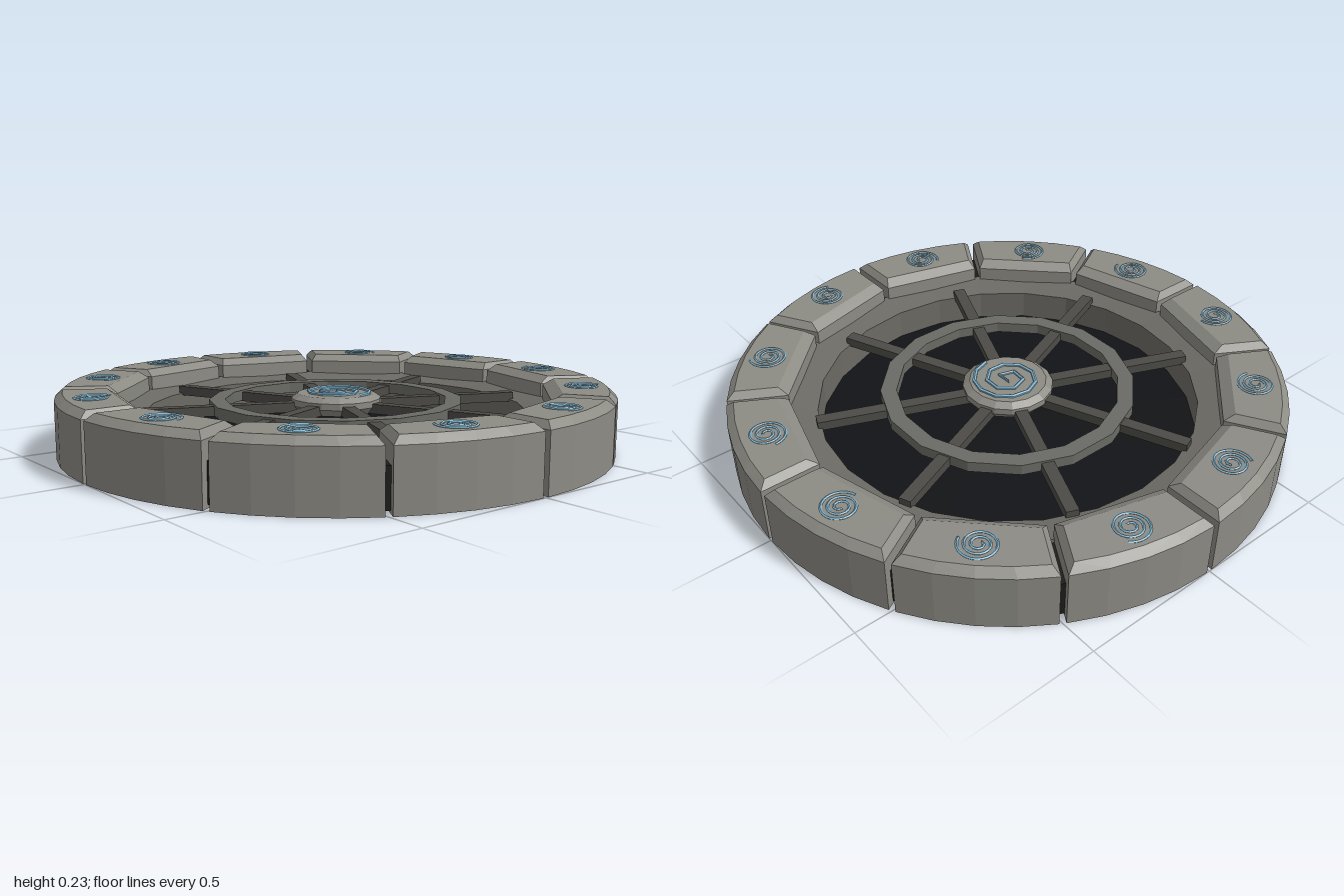
import * as THREE from 'three';
import { ConvexGeometry } from 'three/addons/geometries/ConvexGeometry.js';

const mat = (color) => new THREE.MeshStandardMaterial({ color, flatShading: true });
const stoneMat = mat(0x8c8b84);
const mortarMat = mat(0x1c1c1a);
const collarMat = mat(0x6c6a64);
const ringMat = mat(0x6a6a65);
const spokeMat = mat(0x4c4b47);
const floorMat = mat(0x111316);
const glyphMat = mat(0x7fb2cc);

function add(parent, name, geometry, material) {
  const mesh = new THREE.Mesh(geometry, material);
  mesh.name = name;
  parent.add(mesh);
  return mesh;
}

// Solid of revolution from a closed [radius, height] profile
function lathe(profile, sides, phase = 0) {
  const points = profile.map(([r, y]) => new THREE.Vector2(r, y));
  return new THREE.LatheGeometry(points, sides, phase);
}

const band = (inner, outer, low, high) => [
  [inner, low], [outer, low], [outer, high], [inner, high], [inner, low],
];

// Flat spiral in the ground plane
class Spiral extends THREE.Curve {
  constructor(inner, outer, turns) {
    super();
    Object.assign(this, { inner, outer, turns });
  }
  getPoint(t, target = new THREE.Vector3()) {
    const a = t * this.turns * Math.PI * 2;
    const r = this.outer + (this.inner - this.outer) * t;
    return target.set(r * Math.cos(a), 0, -r * Math.sin(a));
  }
}

// Outline of one rim stone: straight inner edge, faceted outer arc
function stoneLoop(inner, outer, gap, y) {
  const half = Math.PI / 12;
  const at = (r, a) => new THREE.Vector3(r * Math.sin(a), y, r * Math.cos(a));
  const ai = half - Math.asin(gap / inner);
  const ao = half - Math.asin(gap / outer);
  const loop = [at(inner, -ai), at(inner, ai)];
  for (let i = 0; i <= 4; i++) loop.push(at(outer, ao * (1 - i / 2)));
  return loop;
}

export function createModel() {
  const model = new THREE.Group();
  model.name = 'roundStoneGrate';

  // Rim of twelve bevelled stones, each with a carved spiral
  const stoneGeo = new ConvexGeometry([
    ...stoneLoop(0.785, 1, 0.011, 0),
    ...stoneLoop(0.785, 1, 0.011, 0.203),
    ...stoneLoop(0.82, 0.972, 0.032, 0.228),
  ]);
  const smallSpiral = new THREE.TubeGeometry(new Spiral(0.012, 0.068, 2.7), 48, 0.005, 5);
  for (let i = 0; i < 12; i++) {
    const segment = new THREE.Group();
    segment.name = 'rimSegment';
    segment.rotation.y = (i + 0.5) * Math.PI / 6;
    add(segment, 'rimStone', stoneGeo, stoneMat);
    const glyph = add(segment, 'stoneSpiral', smallSpiral, glyphMat);
    glyph.position.set(0, 0.228, 0.885);
    glyph.rotation.y = i * 1.3;
    model.add(segment);
  }

  // Dark mortar showing in the gaps, and the inner ledge
  add(model, 'mortar', lathe(band(0.76, 0.97, 0.01, 0.14), 48), mortarMat);
  add(model, 'innerCollar', lathe(
    [[0.69, 0.01], [0.8, 0.01], [0.8, 0.155], [0.69, 0.135], [0.69, 0.01]], 24), collarMat);

  // Closed floor of the well
  const floor = add(model, 'floor', new THREE.CylinderGeometry(0.775, 0.775, 0.02, 24), floorMat);
  floor.position.y = 0.014;

  // Grate: eight spokes and a middle ring
  const spokeGeo = new THREE.BoxGeometry(0.58, 0.035, 0.045);
  for (let i = 0; i < 8; i++) {
    const arm = new THREE.Group();
    arm.name = 'spokeArm';
    arm.rotation.y = (i + 0.5) * Math.PI / 4;
    add(arm, 'spoke', spokeGeo, spokeMat).position.set(0.41, 0.145, 0);
    model.add(arm);
  }
  add(model, 'middleRing', lathe(band(0.405, 0.463, 0.13, 0.17), 16, Math.PI / 16), ringMat);

  // Bevelled hub with a raised spiral
  add(model, 'hub', lathe(
    [[0, 0.125], [0.145, 0.125], [0.165, 0.15], [0.165, 0.173], [0.14, 0.19], [0, 0.19]],
    16, Math.PI / 16), stoneMat);
  const hubSpiral = add(model, 'hubSpiral',
    new THREE.TubeGeometry(new Spiral(0.02, 0.13, 2.4), 18, 0.008, 6), glyphMat);
  hubSpiral.position.y = 0.192;

  return model;
}
